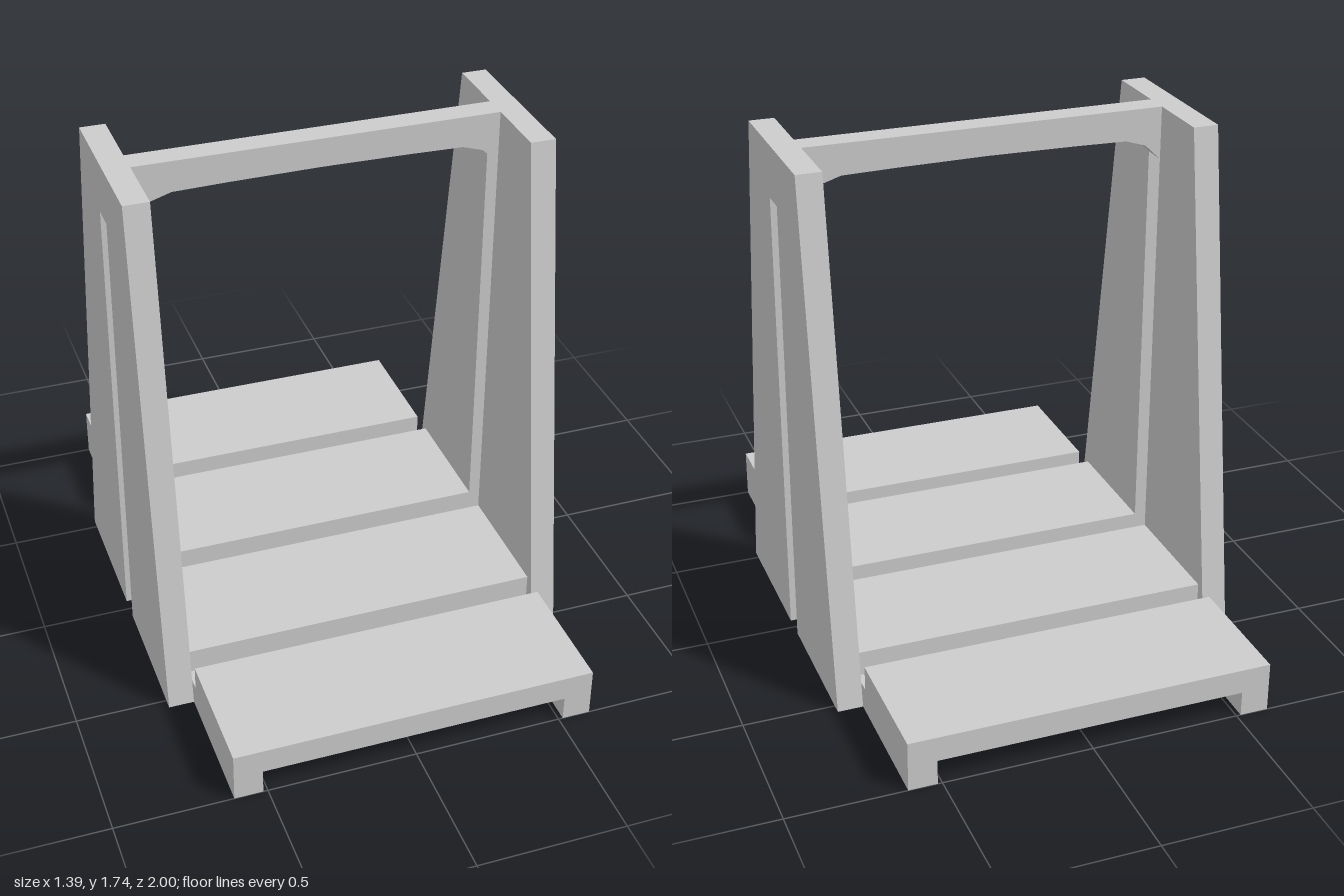
import * as THREE from 'three';

const INNER = 0.61;   // half the clear width between the side panels
const OUTER = 0.695;  // half the full width
const TOP = 1.74;
const SLAT = 0.085;   // thickness of rails and planks
const SLOT = 0.043;   // half width of slot and top beam

export function createModel() {
  const model = new THREE.Group();
  const material = new THREE.MeshStandardMaterial({ color: 0xcccccc, flatShading: true });

  const add = (name, geometry, x = 0, y = 0, z = 0) => {
    const mesh = new THREE.Mesh(geometry, material);
    mesh.name = name;
    mesh.position.set(x, y, z);
    model.add(mesh);
    return mesh;
  };
  const extrude = (points, depth) =>
    new THREE.ExtrudeGeometry(
      new THREE.Shape(points.map(([x, y]) => new THREE.Vector2(x, y))),
      { depth, bevelEnabled: false }
    ).translate(0, 0, -depth / 2);

  // Tapered side panels, each with a tall slot open at the foot
  const panel = extrude([
    [-0.535, 0], [-SLOT, 0], [-SLOT, 1.56], [SLOT, 1.56], [SLOT, 0],
    [0.535, 0], [0.28, TOP], [-0.28, TOP],
  ], OUTER - INNER).rotateY(Math.PI / 2);

  // Long floor rails
  const rail = new THREE.BoxGeometry(INNER - 0.515, SLAT, 2);

  for (const [side, s] of [['left', 1], ['right', -1]]) {
    add(`${side}SidePanel`, panel, s * (INNER + OUTER) / 2);
    add(`${side}Rail`, rail, s * (INNER + 0.515) / 2, SLAT / 2);
  }

  // Four floor planks with gaps between them
  const planks = [['back', -1, -0.565], ['innerBack', -0.48, -SLOT],
    ['innerFront', SLOT, 0.48], ['front', 0.565, 1]];
  for (const [name, z0, z1] of planks) {
    add(`${name}Plank`, new THREE.BoxGeometry(2 * INNER, SLAT, z1 - z0),
      0, SLAT * 1.5, (z0 + z1) / 2);
  }

  // Top beam with a shallow arched underside
  const arch = [[INNER, 1.56], [0.555, 1.613], [0.485, 1.635], [0.3, 1.639]];
  const mirrored = arch.map(([x, y]) => [-x, y]).reverse();
  add('topBeam', extrude(
    [[-INNER, TOP], ...mirrored.reverse(), [0, 1.642], ...arch.reverse(), [INNER, TOP]],
    2 * SLOT
  ));

  return model;
}
